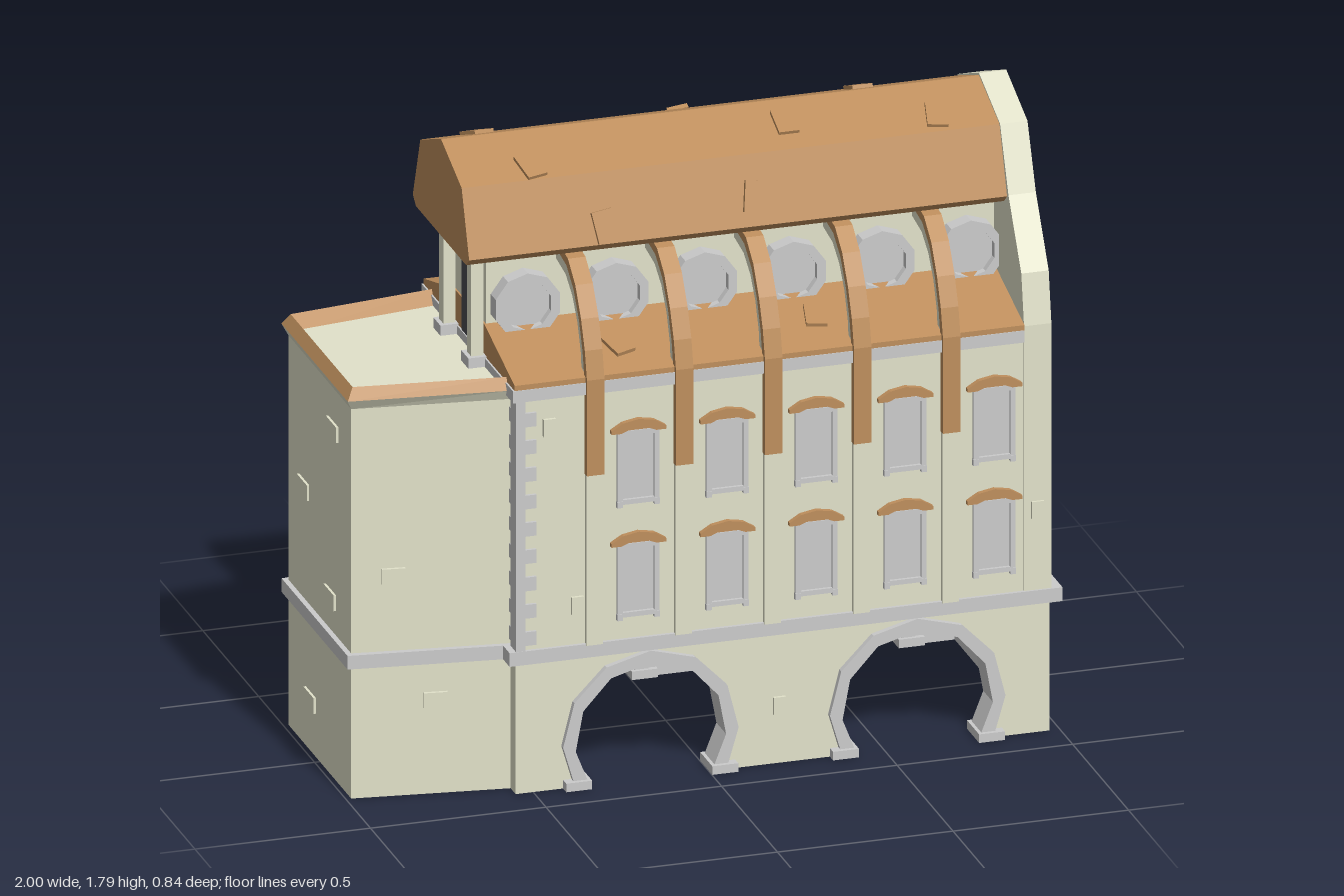
import * as THREE from 'three';

const mat = (color) => new THREE.MeshStandardMaterial({ color, flatShading: true });
const STONE = mat(0xe2e2ca), TILE = mat(0xbf8f5d), GREY = mat(0xcccccc), DARK = mat(0x4a4a50);

const shapeOf = (pts) => new THREE.Shape(pts.map((p) => new THREE.Vector2(p[0], p[1])));
const mirrorPts = (half) => [...half, ...half.slice().reverse().map(([a, b]) => [-a, b])];
const rect = (x0, x1, z) => [[x0, -z], [x0, z], [x1, z], [x1, -z]];

function add(parent, name, geo, material, x = 0, y = 0, z = 0) {
  const m = new THREE.Mesh(geo, material);
  m.name = name;
  m.position.set(x, y, z);
  parent.add(m);
  return m;
}
// box given by its limits
function box(parent, name, material, x0, x1, y0, y1, z0, z1) {
  return add(parent, name, new THREE.BoxGeometry(Math.abs(x1 - x0), y1 - y0, z1 - z0), material,
    (x0 + x1) / 2, (y0 + y1) / 2, (z0 + z1) / 2);
}
// outline in (x, y), pushed along z
function extrudeZ(shape, z0, z1) {
  return new THREE.ExtrudeGeometry(shape, { depth: z1 - z0, bevelEnabled: false }).translate(0, 0, z0);
}
// outline in (z, y), pushed along x
function extrudeX(pts, x0, x1) {
  return extrudeZ(shapeOf(pts.map(([z, y]) => [-z, y])), x0, x1).rotateY(Math.PI / 2);
}
// plan outline in (x, z), pushed up y
function extrudeY(pts, y0, y1, hole) {
  const s = shapeOf(pts.map(([x, z]) => [x, -z]));
  if (hole) s.holes.push(shapeOf(hole.map(([x, z]) => [x, -z])));
  return extrudeZ(s, y0, y1).rotateX(-Math.PI / 2);
}
const arc = (cx, cy, r, from, to, n) => Array.from({ length: n + 1 }, (_, i) => {
  const a = from + ((to - from) * i) / n;
  return [cx + r * Math.cos(a), cy + r * Math.sin(a)];
});

// tapering plan of the terrace wing
const wing = (x, zEnd, zNear, xNear = -0.55) => [[xNear, -zNear], [x, -zEnd], [x, zEnd], [xNear, zNear]];

// band around the three free sides of the wing; rows are [x, zEnd, zNear, y]
function wingBand(rows) {
  const pos = [];
  for (let r = 0; r + 1 < rows.length; r++) {
    const [lo, hi] = [rows[r], rows[r + 1]].map(([x, e, n, y]) => wing(x, e, n).map((p) => [p[0], y, p[1]]));
    for (let i = 0; i < 3; i++) pos.push(lo[i], lo[i + 1], hi[i + 1], lo[i], hi[i + 1], hi[i]);
  }
  const g = new THREE.BufferGeometry();
  g.setAttribute('position', new THREE.Float32BufferAttribute(pos.flat(), 3));
  g.computeVertexNormals();
  return g;
}

const ARCHES = [-0.17, 0.59], ARCH_Y = 0.13;
const archEnd = (r) => Math.asin(ARCH_Y / r);

// ground floor wall with two horseshoe openings
function arcadeWall(s) {
  const pts = [[-0.55, 0.39], [-0.55, 0]];
  for (const cx of ARCHES) {
    const e = archEnd(0.23);
    pts.push(...arc(cx, ARCH_Y, 0.23, Math.PI + e, -e, 8));
  }
  pts.push([0.97, 0], [0.97, 0.39]);
  return shapeOf(pts.map(([x, y]) => [s * x, y]));
}

function archTrim(parent, x) {
  const g = new THREE.Group();
  g.name = 'archSurround';
  g.position.x = x;
  parent.add(g);
  const eo = archEnd(0.25), ei = archEnd(0.215);
  const ring = shapeOf([...arc(0, ARCH_Y, 0.25, -eo, Math.PI + eo, 8),
    ...arc(0, ARCH_Y, 0.215, Math.PI + ei, -ei, 8)]);
  add(g, 'archRing', extrudeZ(ring, 0.315, 0.402), GREY);
  for (const k of [-1, 1]) box(g, 'archFoot', GREY, k * 0.208 - 0.037, k * 0.208 + 0.037, 0, 0.025, 0.305, 0.414);
}

// framed window with a curved cap
function windowUnit(parent, x, y) {
  const g = new THREE.Group();
  g.name = 'window';
  g.position.set(x, y, 0);
  parent.add(g);
  const frame = shapeOf([[-0.06, 0], [0.06, 0], [0.06, 0.215], [-0.06, 0.215]]);
  frame.holes.push(shapeOf([[-0.045, 0.014], [0.045, 0.014], [0.045, 0.2], [-0.045, 0.2]]));
  add(g, 'windowFrame', extrudeZ(frame, 0.392, 0.411), GREY);
  box(g, 'windowPane', GREY, -0.046, 0.046, 0.01, 0.205, 0.392, 0.402);
  for (const k of [-1, 1]) box(g, 'sillBracket', GREY, k * 0.053 - 0.008, k * 0.053 + 0.008, -0.008, 0.01, 0.392, 0.413);
  const cap = shapeOf([[-0.078, 0], [-0.05, 0], [-0.03, 0.008], [0.03, 0.008], [0.05, 0], [0.078, 0],
    [0.078, 0.01], [0.045, 0.03], [0, 0.038], [-0.045, 0.03], [-0.078, 0.01]]);
  add(g, 'windowCap', extrudeZ(cap, 0.392, 0.415), TILE, 0, 0.21, 0);
}

// round attic window
function roundWindow(parent, x) {
  const ring = shapeOf(arc(0, 0, 0.096, 0.314, 0.314 + 2 * Math.PI, 10).slice(0, 10));
  ring.holes.push(shapeOf(arc(0, 0, 0.07, 0.314, 0.314 + 2 * Math.PI, 10).slice(0, 10)));
  add(parent, 'roundWindowRing', extrudeZ(ring, 0.13, 0.18), GREY, x, 1.337, 0);
  add(parent, 'roundWindowPane', new THREE.CylinderGeometry(0.075, 0.075, 0.035, 10).rotateX(Math.PI / 2),
    GREY, x, 1.337, 0.142);
}

// loose tile lying on a roof slope
function looseTile(parent, x, y, z, slope, spin) {
  add(parent, 'looseTile', new THREE.BoxGeometry(0.058, 0.016, 0.088), TILE, x, y, z).rotation.set(slope, spin, 0);
}

// everything that repeats on the front (s = 1) and the back (s = -1)
function longSide(s) {
  const g = new THREE.Group();
  g.name = s > 0 ? 'frontSide' : 'backSide';
  if (s < 0) g.rotation.y = Math.PI;

  add(g, 'arcadeWall', extrudeZ(arcadeWall(s), 0.325, 0.385), STONE);
  add(g, 'arcadeLining', extrudeZ(arcadeWall(s), 0.32, 0.325), GREY);
  ARCHES.forEach((x) => archTrim(g, s * x));

  for (let i = 0; i < 5; i++) {
    for (const y of [0.49, 0.82]) windowUnit(g, s * (-0.208 + 0.2535 * i), y);
    // pilaster and the curved rib over it
    const x = s * (-0.333 + 0.2535 * i);
    box(g, 'pilaster', STONE, x - 0.024, x + 0.024, 0.42, 0.93, 0.392, 0.411);
    add(g, 'ribCore', extrudeX([[0.405, 0.92], [0.405, 1.2], [0.385, 1.28], [0.35, 1.36], [0.3, 1.43], [0.235, 1.475],
      [0.125, 1.49], [0.125, 1.45], [0.22, 1.435], [0.28, 1.395], [0.325, 1.335], [0.355, 1.26], [0.365, 1.19],
      [0.392, 1.17], [0.392, 0.92]], x - 0.022, x + 0.022), STONE);
    add(g, 'rib', extrudeX([[0.42, 0.92], [0.42, 1.2], [0.401, 1.28], [0.367, 1.36], [0.316, 1.44], [0.25, 1.492],
      [0.125, 1.51], [0.125, 1.485], [0.235, 1.468], [0.3, 1.422], [0.349, 1.35], [0.381, 1.27], [0.398, 1.195],
      [0.398, 0.92]], x - 0.025, x + 0.025), TILE);
  }
  for (let i = 0; i < 6; i++) roundWindow(g, s * (-0.45 + 0.2525 * i));

  // corner stones
  box(g, 'cornerStrip', GREY, s * -0.556, s * -0.53, 0.42, 1.16, 0.36, 0.409);
  for (let i = 0; i < 9; i++) {
    const y = 0.44 + i * 0.08;
    box(g, 'cornerStone', GREY, s * -0.5555, s * -0.498, y, y + 0.04, 0.345, 0.4085);
  }

  // loose bricks on the walls
  const wall = [[-0.46, 1.07, 0.4], [-0.38, 0.54, 0.4], [0.93, 0.66, 0.402], [0.2, 0.17, 0.385]];
  for (const [x, y, z] of wall) add(g, 'brick', new THREE.BoxGeometry(0.035, 0.05, 0.018), STONE, s * x, y, z);
  for (const [x, y] of [[-0.87, 0.645], [-0.755, 0.275]]) {
    const z = 0.28 + (0.06 * (x + 0.985)) / 0.435;
    add(g, 'brick', new THREE.BoxGeometry(0.065, 0.045, 0.018), STONE, s * x, y, z).rotation.y = -s * 0.137;
  }

  // loose tiles: ridge slope, steep slope, lower roof
  const [ridge, steep, low] = s > 0
    ? [[[-0.43, 0.14], [0.31, 0.09], [0.73, 0.13]], [[-0.25, 1.57], [0.18, 1.6]], [[-0.23, 0.29], [0.34, 0.27]]]
    : [[[-0.5, 0.12], [0.58, 0.1]], [[-0.26, 1.58], [0.1, 1.67], [0.79, 1.62]], [[-0.1, 0.29], [0.5, 0.28]]];
  ridge.forEach(([x, z], i) => looseTile(g, s * x, 1.783 - z * 0.395, z, 0.38, 0.2 - 0.2 * i));
  steep.forEach(([x, y], i) => looseTile(g, s * x, y, 0.256 - (y - 1.522) * 0.36, 1.225, 0.15 - 0.3 * i));
  low.forEach(([x, z], i) => looseTile(g, s * x, 1.208 + (0.408 - z) * 0.28, z, 0.27, 0.3 - 0.5 * i));
  return g;
}

export function createModel() {
  const root = new THREE.Group();
  root.name = 'building';

  // main body: a hollow shell, open to the arcade below
  add(root, 'mainWalls', extrudeY(rect(-0.55, 0.96, 0.4), 0.4, 1.19, rect(-0.54, 0.95, 0.39)), STONE);
  add(root, 'floorLedge', extrudeY(rect(-0.575, 1, 0.41), 0.385, 0.425, rect(-0.535, 0.93, 0.32)), GREY);
  box(root, 'arcadeEndWall', STONE, 0.93, 0.97, 0, 0.39, -0.385, 0.385);
  box(root, 'arcadeEndLining', GREY, 0.925, 0.93, 0, 0.39, -0.325, 0.325);
  box(root, 'arcadeInnerWall', GREY, -0.55, -0.535, 0, 0.39, -0.325, 0.325);
  add(root, 'cornice', extrudeY(rect(-0.565, 0.892, 0.41), 1.155, 1.19, rect(-0.545, 0.88, 0.395)), GREY);
  box(root, 'atticWalls', STONE, -0.555, 0.9, 1.19, 1.51, -0.135, 0.135);

  // tall end gable
  add(root, 'gable', extrudeX(mirrorPts([[0.404, 0.4], [0.404, 1.2], [0.38, 1.345], [0.265, 1.53],
    [0.19, 1.71], [0.002, 1.786]]), 0.892, 0.97), STONE);

  // roofs
  add(root, 'lowerRoof', extrudeX(mirrorPts([[0.408, 1.188], [0.408, 1.205], [0.135, 1.282]]), -0.56, 0.892), TILE);
  add(root, 'upperRoof', extrudeX(mirrorPts([[0.225, 1.498], [0.252, 1.522], [0.185, 1.708], [0.002, 1.78]]), -0.64, 0.892), TILE);

  // terrace wing, open underneath, tapering to the left end
  const hollow = wing(-0.975, 0.272, 0.33, -0.551);
  add(root, 'wingWalls', extrudeY(wing(-0.985, 0.28, 0.34), 0, 1.15, hollow), STONE);
  add(root, 'terraceFloor', extrudeY(wing(-0.98, 0.275, 0.335), 1.14, 1.165), STONE);
  add(root, 'wingLedge', extrudeY(wing(-1, 0.295, 0.355), 0.385, 0.425, hollow), GREY);
  const rim = [-1, 0.297, 0.355, 1.17];
  add(root, 'parapetFlare', wingBand([[-0.985, 0.28, 0.34, 1.14], rim]), STONE);
  add(root, 'parapetCoping', wingBand([rim, [-0.98, 0.277, 0.335, 1.203], [-0.955, 0.252, 0.308, 1.163]]), TILE);
  for (const [y, z] of [[1.02, 0.12], [0.75, -0.14], [0.52, 0.1], [0.15, -0.08]]) {
    box(root, 'endBrick', STONE, -0.992, -0.97, y - 0.023, y + 0.023, z - 0.045, z + 0.045);
  }

  // porch opening onto the terrace
  const door = shapeOf([[-0.06, 1.17], [0.06, 1.17], ...arc(0, 1.4, 0.06, 0, Math.PI, 6)]);
  add(root, 'terraceDoor', extrudeZ(door, 0, 0.012).rotateY(-Math.PI / 2), DARK, -0.55, 0, 0);
  for (const z of [-0.125, 0.125]) {
    box(root, 'porchColumn', STONE, -0.6, -0.565, 1.165, 1.505, z - 0.02, z + 0.02);
    box(root, 'porchColumnBase', GREY, -0.612, -0.553, 1.165, 1.195, z - 0.032, z + 0.032);
  }

  root.add(longSide(1), longSide(-1));
  return root;
}
